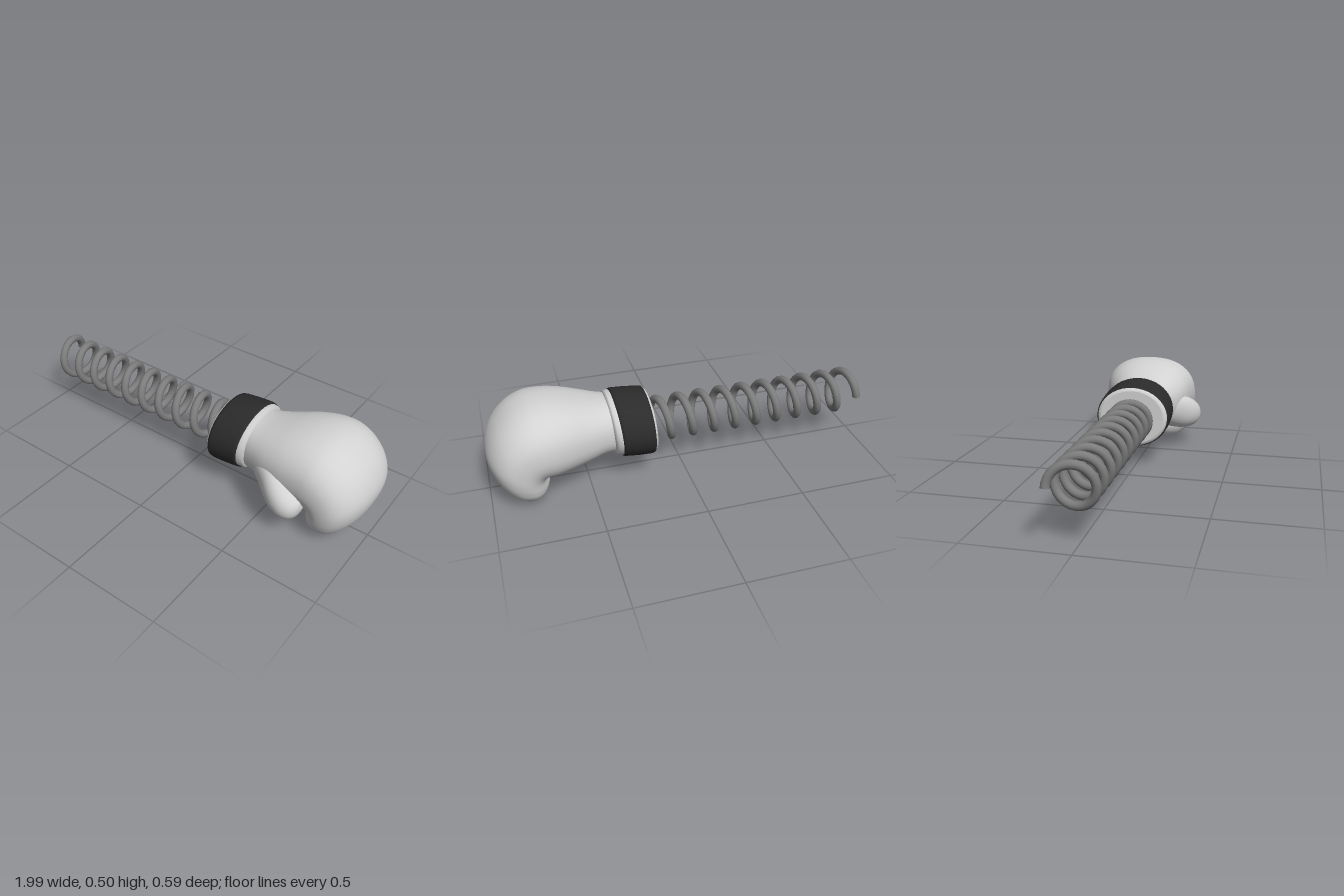
import * as THREE from 'three';

const material = (name, color) => {
  const m = new THREE.MeshStandardMaterial({ color });
  m.name = name;
  return m;
};

// Skin over cross-sections. Each station: [topX, topY, bottomX, bottomY, centreZ, halfWidthZ].
// n is the squareness of the section (2 = ellipse), steps smooths between stations.
function loft(stations, { n = 2, steps = 1, sides = 40 } = {}) {
  const tops = new THREE.CatmullRomCurve3(stations.map(s => new THREE.Vector3(s[0], s[1], s[4])));
  const bottoms = new THREE.CatmullRomCurve3(stations.map(s => new THREE.Vector3(s[2], s[3], s[5])));
  const rings = (stations.length - 1) * steps;
  const positions = [], indices = [];
  const bulge = v => Math.sign(v) * Math.pow(Math.abs(v), 2 / n);
  for (let i = 0; i <= rings; i++) {
    const t = tops.getPoint(i / rings), b = bottoms.getPoint(i / rings);
    for (let j = 0; j < sides; j++) {
      const a = (j / sides) * Math.PI * 2;
      const u = bulge(Math.cos(a)), v = bulge(Math.sin(a));
      positions.push(
        (t.x + b.x) / 2 + (t.x - b.x) / 2 * u,
        (t.y + b.y) / 2 + (t.y - b.y) / 2 * u,
        t.z + Math.max(b.z, 0) * v);
      if (i < rings) {
        const k = (j + 1) % sides, r = i * sides, q = r + sides;
        indices.push(r + j, r + k, q + j, r + k, q + k, q + j);
      }
    }
  }
  const g = new THREE.BufferGeometry();
  g.setAttribute('position', new THREE.Float32BufferAttribute(positions, 3));
  g.setIndex(indices);
  g.computeVertexNormals();
  return g;
}

// Helix along x, starting at the back and rising over the top
class Helix extends THREE.Curve {
  getPoint(t, target = new THREE.Vector3()) {
    const a = t * 10 * Math.PI * 2;
    return target.set(-0.972 + 1.165 * t, 0.27 + 0.1 * Math.sin(a), -0.016 - 0.1 * Math.cos(a));
  }
}

export function createModel() {
  const model = new THREE.Group();
  model.name = 'springGlove';
  const leather = material('paleLeather', 0xd2d2d2);
  const steel = material('greySteel', 0x7c7c7c);
  const black = material('blackBand', 0x2b2b2b);
  const add = (name, geometry, mat, parent = model) => {
    const mesh = new THREE.Mesh(geometry, mat);
    mesh.name = name;
    parent.add(mesh);
    return mesh;
  };

  // Spring with a flat cut end
  const helix = new Helix();
  add('spring', new THREE.TubeGeometry(helix, 320, 0.021, 12), steel);
  const end = add('springEnd', new THREE.CircleGeometry(0.021, 12), steel);
  const start = helix.getPoint(0);
  end.position.copy(start);
  end.lookAt(start.clone().sub(helix.getTangent(0)));

  const glove = new THREE.Group();
  glove.name = 'glove';
  model.add(glove);

  // Cuff: end disc, rounded edge, lining and front lip
  add('cuffDisc', loft([
    [0.165, 0.275, 0.165, 0.275, -0.018, 0],
    [0.168, 0.42, 0.158, 0.13, -0.018, 0.172],
  ]), leather, glove);
  add('cuffLining', loft([
    [0.168, 0.42, 0.158, 0.13, -0.018, 0.172],
    [0.172, 0.432, 0.16, 0.119, -0.018, 0.186],
    [0.185, 0.437, 0.172, 0.115, -0.018, 0.194],
    [0.355, 0.45, 0.325, 0.128, -0.018, 0.192],
    [0.376, 0.452, 0.352, 0.128, -0.016, 0.185],
    [0.386, 0.445, 0.364, 0.137, -0.013, 0.174],
    [0.388, 0.425, 0.366, 0.16, -0.01, 0.15],
  ]), leather, glove);

  // Black wrist band
  add('wristBand', loft([
    [0.182, 0.43, 0.17, 0.122, -0.018, 0.188],
    [0.183, 0.441, 0.171, 0.112, -0.018, 0.197],
    [0.2, 0.445, 0.187, 0.109, -0.018, 0.2],
    [0.27, 0.453, 0.25, 0.112, -0.018, 0.202],
    [0.34, 0.458, 0.312, 0.118, -0.018, 0.199],
    [0.355, 0.456, 0.327, 0.121, -0.018, 0.196],
    [0.356, 0.442, 0.328, 0.135, -0.018, 0.182],
  ], { sides: 48 }), black, glove);

  // Hand: from the wrist, over the knuckles, curling down to the fingertips
  add('fist', loft([
    [0.36, 0.43, 0.35, 0.15, -0.01, 0.155],
    [0.42, 0.438, 0.42, 0.152, -0.008, 0.175],
    [0.5, 0.46, 0.5, 0.135, -0.01, 0.205],
    [0.6, 0.49, 0.6, 0.121, -0.02, 0.238],
    [0.7, 0.506, 0.67, 0.114, -0.028, 0.256],
    [0.79, 0.499, 0.7, 0.118, -0.03, 0.264],
    [0.88, 0.455, 0.71, 0.118, -0.03, 0.265],
    [0.955, 0.375, 0.71, 0.113, -0.03, 0.262],
    [0.995, 0.27, 0.705, 0.103, -0.03, 0.256],
    [0.983, 0.175, 0.7, 0.09, -0.03, 0.245],
    [0.94, 0.092, 0.702, 0.072, -0.03, 0.226],
    [0.885, 0.034, 0.713, 0.047, -0.03, 0.192],
    [0.835, 0.009, 0.735, 0.022, -0.03, 0.15],
    [0.8, 0.003, 0.765, 0.008, -0.03, 0.09],
    [0.785, 0.003, 0.784, 0.003, -0.03, 0],
  ], { n: 2.3, steps: 4, sides: 48 }), leather, glove);

  // Thumb, merging into the side of the palm
  add('thumb', loft([
    [0.4, 0.36, 0.4, 0.2, 0.07, 0.07],
    [0.5, 0.345, 0.5, 0.15, 0.125, 0.085],
    [0.59, 0.315, 0.58, 0.122, 0.18, 0.092],
    [0.66, 0.285, 0.645, 0.112, 0.203, 0.09],
    [0.71, 0.257, 0.695, 0.118, 0.208, 0.074],
    [0.735, 0.23, 0.725, 0.143, 0.208, 0.046],
    [0.742, 0.19, 0.741, 0.186, 0.208, 0],
  ], { n: 2.1, steps: 4, sides: 32 }), leather, glove);

  return model;
}
